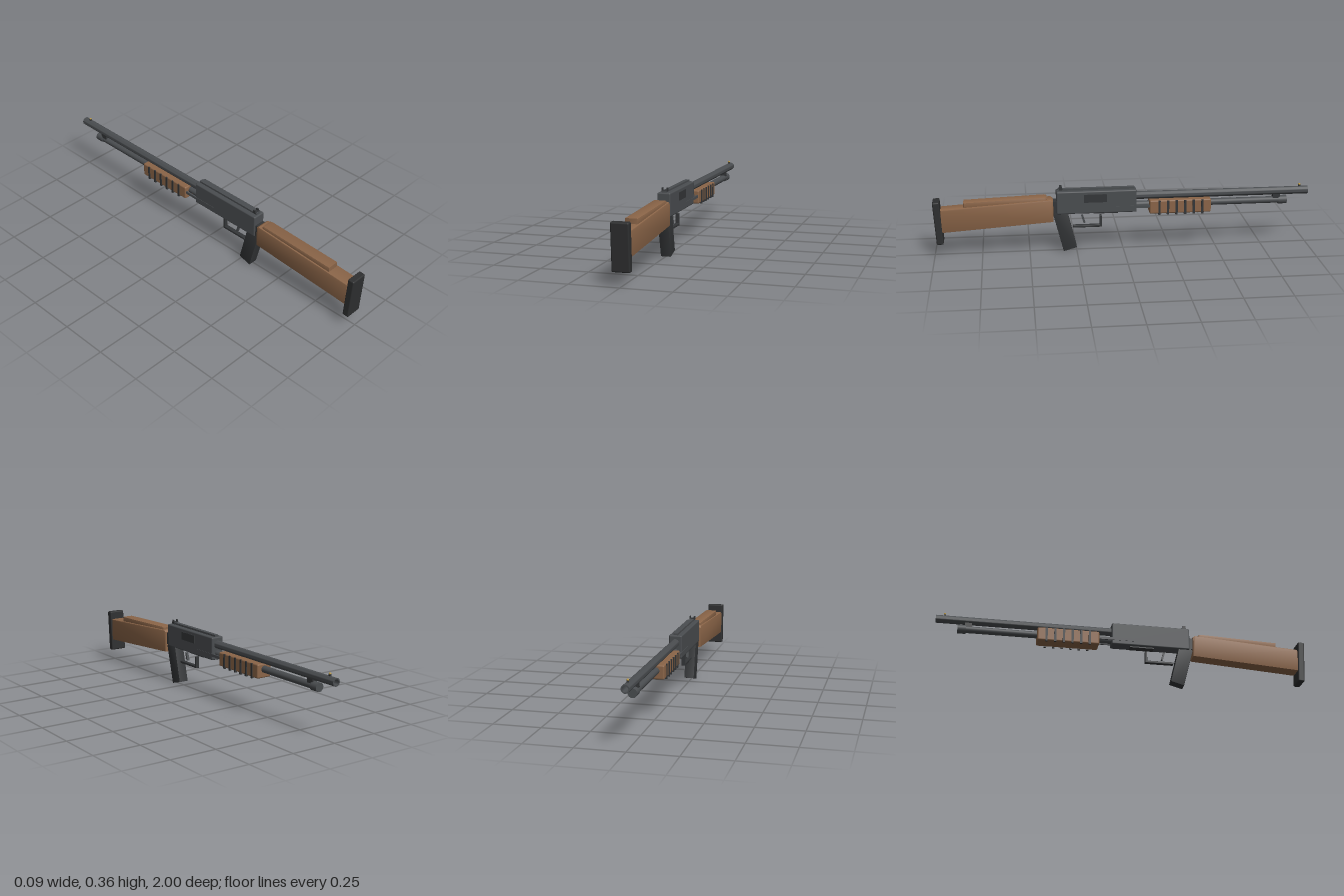
import * as THREE from 'three';
import { RoundedBoxGeometry } from 'three/addons/geometries/RoundedBoxGeometry.js';
import { toCreasedNormals } from 'three/addons/utils/BufferGeometryUtils.js';

const paint = (color) => new THREE.MeshStandardMaterial({ color });
const metal = paint(0x4a4d50);
const dark = paint(0x343638);
const rubber = paint(0x2e2f30);
const wood = paint(0x8b6548);
const brass = paint(0xb8963e);

export function createModel() {
  const model = new THREE.Group();

  const add = (name, geometry, material) => {
    const mesh = new THREE.Mesh(geometry, material);
    mesh.name = name;
    model.add(mesh);
    return mesh;
  };

  // Box given by its [min, max] range on each axis, optionally rounded
  const box = (name, material, [x0, x1], [y0, y1], [z0, z1], radius = 0) => {
    const size = [x1 - x0, y1 - y0, z1 - z0];
    const geometry = radius ? new RoundedBoxGeometry(...size, 2, radius) : new THREE.BoxGeometry(...size);
    const mesh = add(name, geometry, material);
    mesh.position.set((x0 + x1) / 2, (y0 + y1) / 2, (z0 + z1) / 2);
    return mesh;
  };

  // Side profile of [z, y] points, given a width along x and a small bevel
  const slab = (name, material, points, width, bevel) => {
    const shape = new THREE.Shape(points.map(([z, y]) => new THREE.Vector2(z, y)));
    const geometry = new THREE.ExtrudeGeometry(shape, {
      depth: width - 2 * bevel, bevelSize: bevel, bevelThickness: bevel,
      bevelOffset: -bevel, bevelSegments: 2,
    });
    geometry.translate(0, 0, bevel - width / 2).rotateY(-Math.PI / 2);
    return add(name, toCreasedNormals(geometry, 0.6), material);
  };

  // Round tube along z
  const rod = (name, material, radius, y, z0, z1) => {
    const geometry = new THREE.CylinderGeometry(radius, radius, z1 - z0, 24).rotateX(Math.PI / 2);
    const mesh = add(name, geometry, material);
    mesh.position.set(0, y, (z0 + z1) / 2);
    return mesh;
  };

  // Receiver with top rail, ejection port and loading port
  box('receiver', metal, [-0.035, 0.035], [0.21, 0.333], [-0.07, 0.355], 0.007);
  box('topRail', metal, [-0.011, 0.011], [0.328, 0.343], [-0.06, 0.345]);
  box('ejectionPort', dark, [0.03, 0.039], [0.272, 0.315], [0.09, 0.21]);
  box('loadingPort', dark, [-0.02, 0.02], [0.204, 0.215], [0.03, 0.16]);
  box('rearSightBase', dark, [-0.015, 0.015], [0.338, 0.346], [0.322, 0.34]);

  // Barrel with an open bore at the muzzle
  const barrelProfile = [[0, 0.93], [0.015, 0.93], [0.015, 1], [0.021, 1], [0.021, 0.05], [0, 0.05]]
    .map(([r, l]) => new THREE.Vector2(r, l)).reverse();
  const barrelGeometry = new THREE.LatheGeometry(barrelProfile, 24).rotateX(-Math.PI / 2);
  add('barrel', toCreasedNormals(barrelGeometry, 0.6), metal).position.y = 0.293;

  // Magazine tube, its cap and the clamp up to the barrel
  rod('magazineTube', metal, 0.018, 0.243, -0.85, -0.05);
  rod('magazineCap', metal, 0.023, 0.243, -0.885, -0.84);
  box('barrelClamp', dark, [-0.014, 0.014], [0.245, 0.29], [-0.848, -0.81]);

  // Front sight
  box('frontSightPost', dark, [-0.004, 0.004], [0.31, 0.324], [-0.96, -0.95]);
  const bead = add('frontSightBead', new THREE.SphereGeometry(0.006, 12, 8), brass);
  bead.position.set(0, 0.325, -0.955);

  // Pump fore-end
  box('foreEnd', wood, [-0.042, 0.042], [0.198, 0.272], [-0.468, -0.138], 0.008);

  // Parts mirrored on both sides
  for (const side of [-1, 1]) {
    const across = (a, b) => (side > 0 ? [a, b] : [-b, -a]);
    box('rearSightPost', dark, across(0.009, 0.015), [0.343, 0.357], [0.324, 0.338]);
    box('actionBar', metal, across(0.028, 0.037), [0.232, 0.246], [-0.16, 0.07]);
    for (let i = 0; i < 6; i++) {
      const z = -0.19 - i * 0.046;
      box('foreEndRib', dark, across(0.036, 0.046), [0.193, 0.27], [z - 0.006, z + 0.006]);
    }
  }

  // Shoulder stock, cheek rest and the collar joining the receiver
  slab('stock', wood, [[0.372, 0.17], [0.96, 0.13], [0.96, 0.256], [0.385, 0.293], [0.372, 0.283]], 0.08, 0.007);
  slab('cheekRest', wood, [[0.405, 0.27], [0.84, 0.25], [0.84, 0.29], [0.418, 0.306], [0.405, 0.302]], 0.064, 0.005);
  box('stockCollar', dark, [-0.028, 0.028], [0.215, 0.28], [0.345, 0.385]);

  // Butt pad, leaning slightly
  const pad = box('buttPad', rubber, [-0.045, 0.045], [0.067, 0.3], [0.957, 0.993], 0.007);
  pad.rotation.x = 0.06;

  // Pistol grip
  slab('grip', dark, [[0.32, 0], [0.25, 0.02], [0.3, 0.23], [0.355, 0.23], [0.372, 0.205]], 0.054, 0.002);

  // Trigger and its guard
  box('guardBottom', dark, [-0.011, 0.011], [0.125, 0.138], [0.115, 0.268], 0.003);
  box('guardFront', dark, [-0.011, 0.011], [0.125, 0.19], [0.114, 0.126], 0.003);
  const trigger = box('trigger', metal, [-0.007, 0.007], [0.148, 0.194], [0.208, 0.218]);
  trigger.rotation.x = 0.3;

  return model;
}
